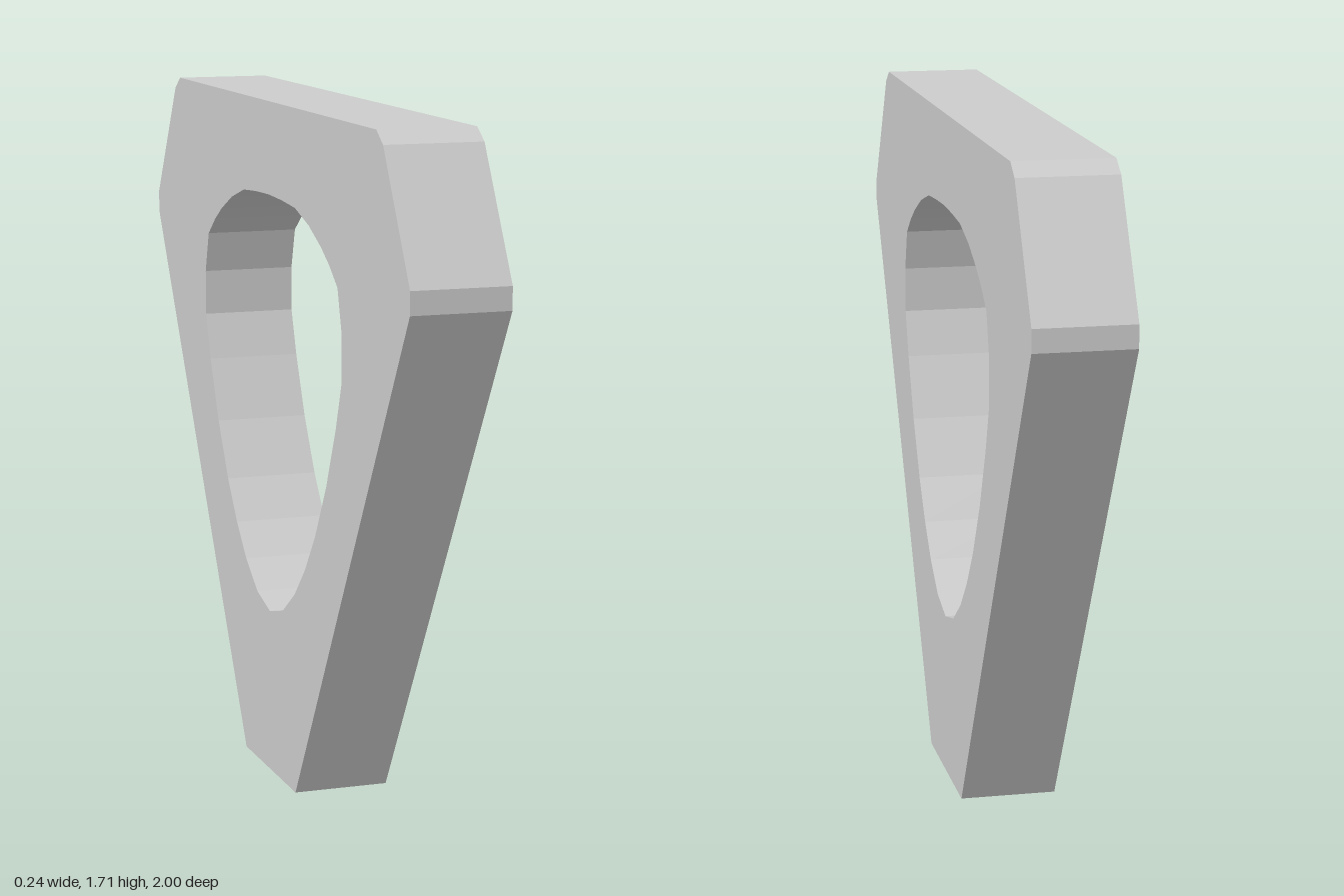
import * as THREE from 'three';

// Mirror a half profile, listed bottom to top, into a closed loop of points
function mirrored(half) {
  const right = half.map(([x, y]) => new THREE.Vector2(x, y));
  const left = half.filter(([x]) => x > 0).reverse().map(([x, y]) => new THREE.Vector2(-x, y));
  return [...right, ...left];
}

export function createModel() {
  const group = new THREE.Group();
  group.name = 'triangularFrame';
  const thickness = 0.24;

  // Outer triangle with clipped corners
  const outline = new THREE.Shape(mirrored([
    [0.205, 0], [1, 1.325], [1, 1.38], [0.825, 1.68], [0.78, 1.71],
  ]));

  // Rounded triangular opening
  outline.holes.push(new THREE.Path(mirrored([
    [0, 0.418], [0.105, 0.445], [0.2, 0.51], [0.28, 0.59], [0.357, 0.69],
    [0.44, 0.83], [0.51, 0.985], [0.55, 1.10], [0.55, 1.215], [0.52, 1.32],
    [0.46, 1.365], [0.4, 1.40], [0.31, 1.44], [0.205, 1.47], [0.1, 1.477], [0, 1.48],
  ])));

  // Plate stands in the y-z plane, with its thickness along x
  const geometry = new THREE.ExtrudeGeometry(outline, { depth: thickness, bevelEnabled: false });
  geometry.translate(0, 0, -thickness / 2);
  geometry.rotateY(Math.PI / 2);

  const plate = new THREE.Mesh(
    geometry,
    new THREE.MeshStandardMaterial({ color: 0xcccccc, flatShading: true }),
  );
  plate.name = 'framePlate';
  group.add(plate);
  return group;
}
